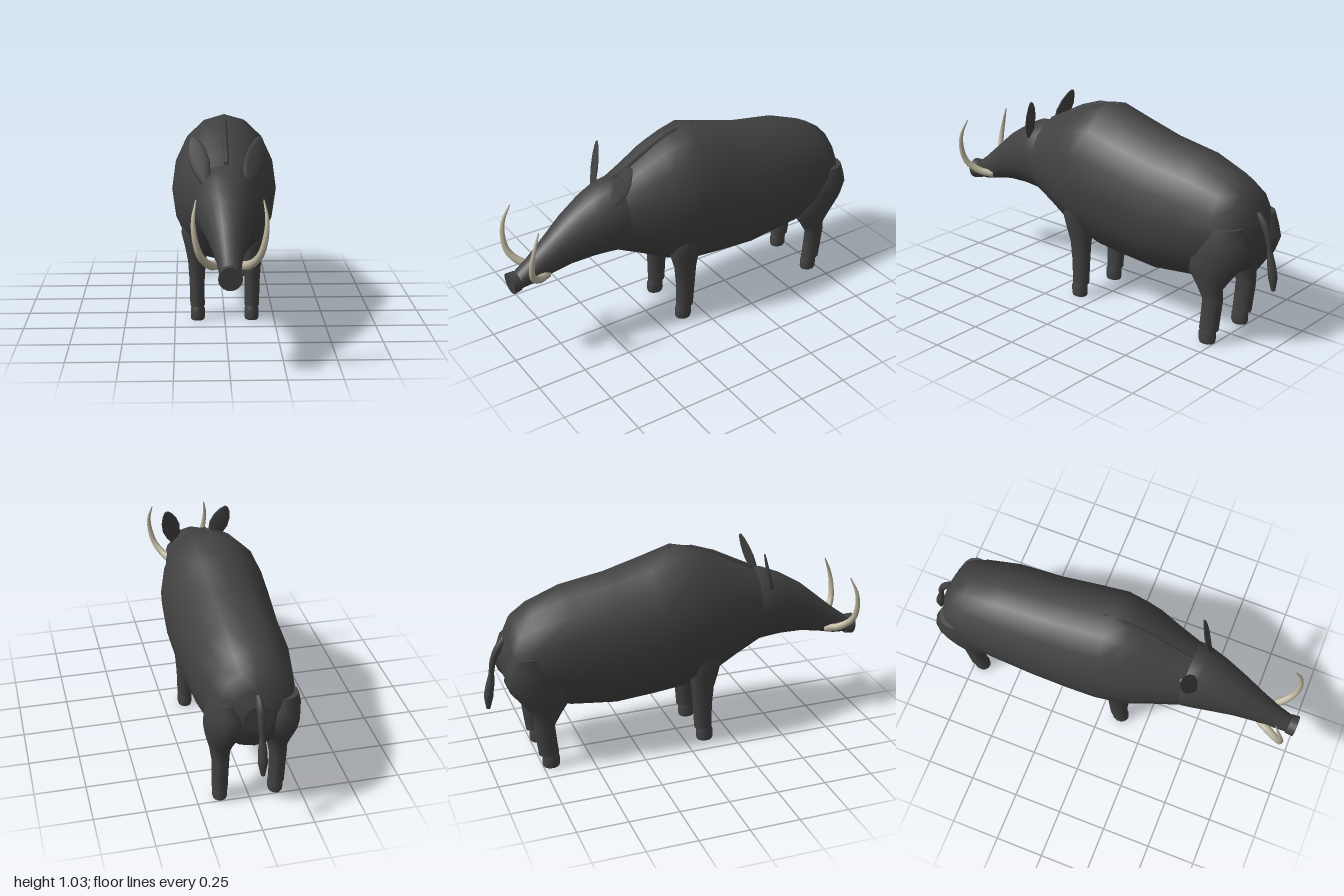
import * as THREE from 'three';

const hide = new THREE.MeshStandardMaterial({ name: 'darkHide', color: 0x414141 });
const ivory = new THREE.MeshStandardMaterial({ name: 'ivory', color: 0xbab29c });
const V = (x, y, z) => new THREE.Vector3(x, y, z);

// Skin over elliptical rings {c: centre, u, v: half axes}; u x v points along the loft. Ends are closed.
function loft(name, rings, seg, material) {
  const pos = [], idx = [];
  const p = V();
  for (const { c, u, v } of rings) {
    for (let j = 0; j < seg; j++) {
      const a = (j / seg) * Math.PI * 2;
      p.copy(c).addScaledVector(u, Math.cos(a)).addScaledVector(v, Math.sin(a));
      pos.push(p.x, p.y, p.z);
    }
  }
  for (let i = 0; i < rings.length - 1; i++) {
    for (let j = 0; j < seg; j++) {
      const a = i * seg + j, b = i * seg + (j + 1) % seg;
      idx.push(a, b, a + seg, b, b + seg, a + seg);
    }
  }
  // caps get their own rim so the edge stays sharp
  [[rings[0], true], [rings[rings.length - 1], false]].forEach(([r, first]) => {
    const start = pos.length / 3;
    pos.push(r.c.x, r.c.y, r.c.z);
    for (let j = 0; j < seg; j++) {
      const a = (j / seg) * Math.PI * 2;
      p.copy(r.c).addScaledVector(r.u, Math.cos(a)).addScaledVector(r.v, Math.sin(a));
      pos.push(p.x, p.y, p.z);
      const m = start + 1 + j, n = start + 1 + (j + 1) % seg;
      idx.push(start, first ? n : m, first ? m : n);
    }
  });
  const g = new THREE.BufferGeometry();
  g.setAttribute('position', new THREE.Float32BufferAttribute(pos, 3));
  g.setIndex(idx);
  g.computeVertexNormals();
  const mesh = new THREE.Mesh(g, material);
  mesh.name = name;
  return mesh;
}

// Rings across z from rows of [z, top, bottom, half width]
const trunk = rows => rows.map(([z, top, bottom, w]) => ({
  c: V(0, (top + bottom) / 2, z), u: V(w, 0, 0), v: V(0, (top - bottom) / 2, 0),
}));

// Rings across y from rows of [y, front z, back z, inner x, outer x]
const limb = (rows, s) => rows.map(([y, z0, z1, x0, x1]) => ({
  c: V(s * (x0 + x1) / 2, y, (z0 + z1) / 2), u: V(0, 0, (z0 - z1) / 2), v: V((x1 - x0) / 2, 0, 0),
}));

// Round tube along a smooth path, with radii interpolated between the listed values
function taperedTube(name, points, radii, steps, material) {
  const curve = new THREE.CatmullRomCurve3(points.map(q => V(...q)));
  const f = curve.computeFrenetFrames(steps);
  const rings = [];
  for (let i = 0; i <= steps; i++) {
    const t = (i / steps) * (radii.length - 1), k = Math.min(Math.floor(t), radii.length - 2);
    const r = THREE.MathUtils.lerp(radii[k], radii[k + 1], t - k);
    rings.push({
      c: curve.getPointAt(i / steps),
      u: f.normals[i].clone().multiplyScalar(r), v: f.binormals[i].clone().multiplyScalar(r),
    });
  }
  return loft(name, rings, 10, material);
}

export function createModel() {
  const boar = new THREE.Group();
  boar.name = 'boar';

  // Humped body, rump to neck
  boar.add(loft('body', trunk([
    [-0.895, 0.62, 0.47, 0.07], [-0.87, 0.69, 0.41, 0.14], [-0.83, 0.77, 0.36, 0.185],
    [-0.75, 0.825, 0.32, 0.21], [-0.58, 0.89, 0.275, 0.238], [-0.35, 0.93, 0.245, 0.247],
    [-0.15, 0.985, 0.26, 0.258], [0, 1.03, 0.275, 0.262], [0.1, 1.005, 0.3, 0.25],
    [0.18, 0.975, 0.335, 0.235], [0.3, 0.91, 0.4, 0.195], [0.43, 0.845, 0.465, 0.155],
  ]), 16, hide));

  // Long tapering head and flat snout disc
  boar.add(loft('head', trunk([
    [0.36, 0.85, 0.47, 0.16], [0.43, 0.853, 0.468, 0.16], [0.48, 0.845, 0.473, 0.152],
    [0.56, 0.81, 0.477, 0.133], [0.68, 0.735, 0.47, 0.1], [0.78, 0.65, 0.45, 0.075],
    [0.88, 0.565, 0.425, 0.055], [0.96, 0.505, 0.42, 0.045],
  ]), 16, hide));
  const snout = new THREE.Mesh(new THREE.CylinderGeometry(0.054, 0.05, 0.04, 20), hide);
  snout.name = 'snout';
  snout.rotation.x = Math.PI / 2 + 0.1;
  snout.position.set(0, 0.46, 0.974);
  boar.add(snout);

  // Narrow mane along the neck
  boar.add(loft('mane', trunk([
    [-0.04, 1.028, 0.98, 0.004], [0.08, 1.02, 0.95, 0.014], [0.2, 0.978, 0.9, 0.016],
    [0.3, 0.926, 0.85, 0.016], [0.415, 0.868, 0.8, 0.016],
  ]), 8, hide));

  for (const s of [1, -1]) {
    const side = s > 0 ? 'left' : 'right';

    // Leaf-shaped ear: rows of [length along ear, half width]
    const base = V(s * 0.1, 0.775, 0.475), tip = V(s * 0.158, 0.98, 0.408);
    const along = tip.clone().sub(base).normalize();
    const across = V(1, 0, s * -0.25).addScaledVector(along, -V(1, 0, s * -0.25).dot(along)).normalize();
    const thick = along.clone().cross(across);
    boar.add(loft(side + 'Ear', [[0, 0.02], [0.2, 0.038], [0.45, 0.049], [0.7, 0.043], [0.9, 0.026], [1, 0.01]]
      .map(([t, w]) => ({
        c: base.clone().lerp(tip, t), u: across.clone().multiplyScalar(w),
        v: thick.clone().multiplyScalar(0.012 - 0.008 * t),
      })), 12, hide));

    // Upward curving tusk
    boar.add(taperedTube(side + 'Tusk', [
      [s * 0.045, 0.475, 0.815], [s * 0.085, 0.49, 0.88], [s * 0.13, 0.545, 0.932],
      [s * 0.153, 0.625, 0.943], [s * 0.16, 0.705, 0.93], [s * 0.147, 0.787, 0.895],
    ], [0.02, 0.02, 0.016, 0.013, 0.009, 0.003], 20, ivory));

    // Front leg
    boar.add(loft(side + 'FrontLeg', limb([
      [0.07, 0.143, 0.052, 0.1, 0.175], [0.2, 0.145, 0.042, 0.1, 0.178], [0.3, 0.153, 0.035, 0.094, 0.185],
      [0.38, 0.175, 0.022, 0.08, 0.2], [0.45, 0.187, 0.015, 0.07, 0.217], [0.5, 0.16, 0.04, 0.09, 0.215],
    ], s), 14, hide));

    // Hind leg with bent hock and heavy haunch
    boar.add(loft(side + 'HindLeg', limb([
      [0.07, -0.667, -0.768, 0.1, 0.177], [0.15, -0.675, -0.778, 0.1, 0.178], [0.23, -0.682, -0.787, 0.098, 0.18],
      [0.29, -0.648, -0.785, 0.09, 0.187], [0.36, -0.6, -0.835, 0.07, 0.205], [0.43, -0.592, -0.89, 0.045, 0.218],
      [0.5, -0.62, -0.917, 0.03, 0.222], [0.56, -0.67, -0.9, 0.03, 0.22], [0.62, -0.73, -0.875, 0.06, 0.205],
    ], s), 14, hide));

    // Rounded hooves
    for (const [name, z] of [['FrontHoof', 0.107], ['HindHoof', -0.708]]) {
      boar.add(loft(side + name, limb([
        [0, z + 0.04, z - 0.04, 0.103, 0.17], [0.012, z + 0.044, z - 0.044, 0.1, 0.173],
        [0.05, z + 0.044, z - 0.044, 0.1, 0.173], [0.075, z + 0.034, z - 0.034, 0.107, 0.166],
      ], s), 14, hide));
    }
  }

  // Hanging tail with a thicker tuft
  boar.add(taperedTube('tail', [
    [0, 0.665, -0.875], [0, 0.62, -0.91], [0, 0.55, -0.94], [0, 0.46, -0.955], [0, 0.37, -0.972], [0, 0.3, -0.978],
  ], [0.014, 0.018, 0.016, 0.013, 0.021, 0.023, 0.01], 24, hide));

  return boar;
}
